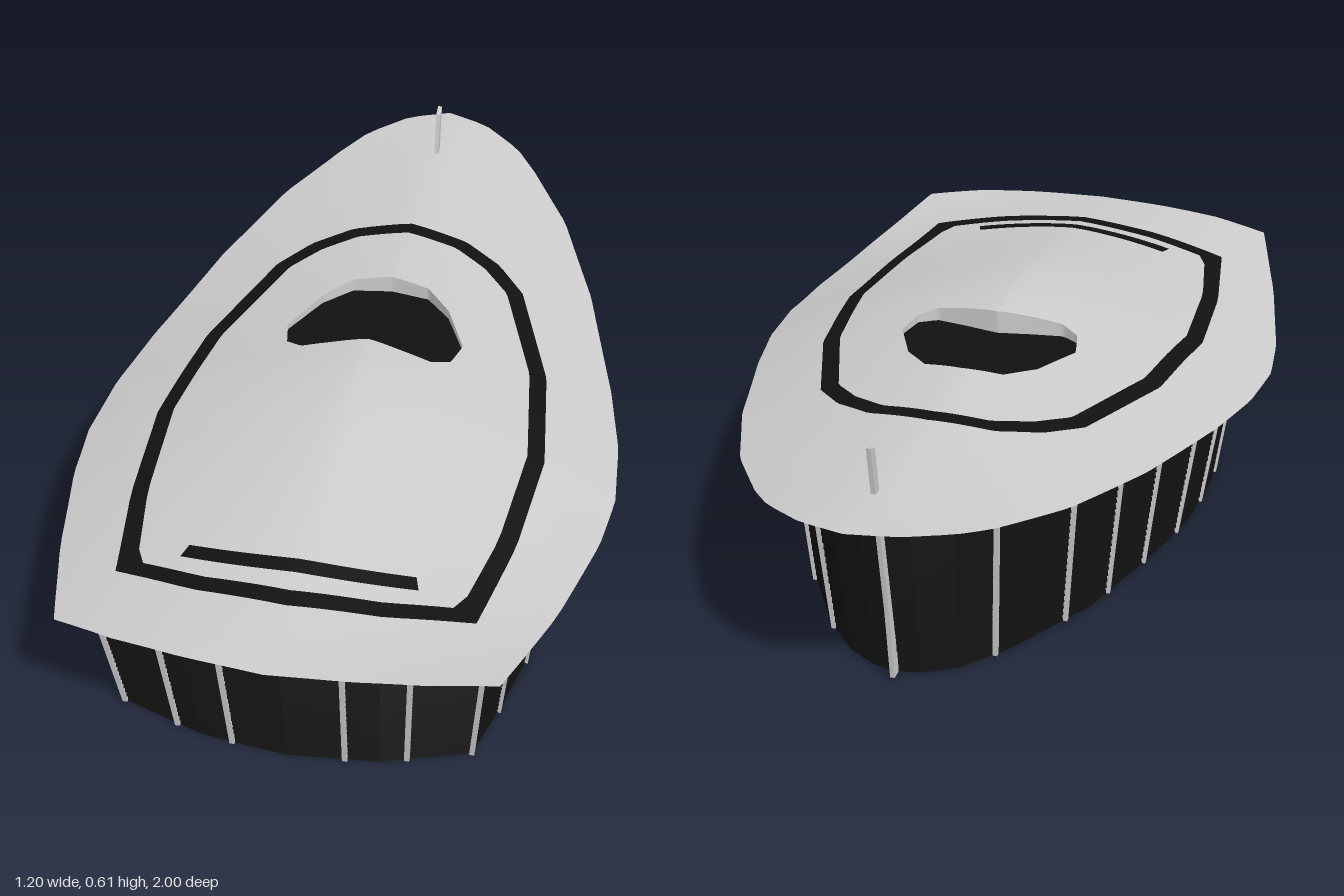
import * as THREE from 'three';

const N = 150;      // samples round every plan loop
const CZ = -0.1;    // centre of the plan loops

// Half plans as [x, z], from the front centre line to the rear centre line
const EDGE = [[0, 1], [0.17, 0.985], [0.32, 0.96], [0.455, 0.92], [0.53, 0.66], [0.585, 0.4], [0.6, 0.25],
  [0.585, 0.08], [0.545, -0.1], [0.455, -0.41], [0.355, -0.66], [0.25, -0.83], [0.195, -0.9], [0.1, -0.97], [0, -1]];
const BAND_OUT = [[0, 0.815], [0.2, 0.795], [0.378, 0.75], [0.42, 0.5], [0.438, 0.23], [0.4, -0.05],
  [0.3, -0.33], [0.23, -0.41], [0.14, -0.465], [0, -0.49]];
const BAND_IN = [[0, 0.775], [0.19, 0.757], [0.34, 0.72], [0.382, 0.5], [0.4, 0.23], [0.362, -0.04],
  [0.265, -0.31], [0.2, -0.38], [0.12, -0.43], [0, -0.45]];
const HOLE = [[0, 0.02], [0.08, 0.035], [0.15, 0.045], [0.19, 0.02], [0.205, -0.05], [0.15, -0.17], [0.09, -0.235], [0, -0.25]];
const WALL_TOP = [[0, 0.9], [0.21, 0.88], [0.41, 0.82], [0.455, 0.65], [0.497, 0.42], [0.51, 0.25], [0.495, 0.06],
  [0.46, -0.08], [0.36, -0.38], [0.22, -0.63], [0.13, -0.74], [0.06, -0.78], [0, -0.79]];
const WALL_BASE = [[0, 0.84], [0.19, 0.82], [0.38, 0.755], [0.42, 0.6], [0.46, 0.4], [0.47, 0.25], [0.455, 0.06],
  [0.42, -0.08], [0.33, -0.36], [0.2, -0.58], [0.12, -0.67], [0.055, -0.71], [0, -0.72]];

// Heights as [z, y]
const RIDGE = [[-1, 0.5], [-0.7, 0.486], [-0.45, 0.482], [-0.26, 0.486], [0.03, 0.5], [0.14, 0.504], [0.3, 0.491],
  [0.46, 0.465], [0.76, 0.413], [1, 0.39]];
const RIM = [[-1, 0.5], [-0.9, 0.475], [-0.83, 0.457], [-0.66, 0.425], [-0.41, 0.386], [-0.1, 0.346], [0.25, 0.316],
  [0.4, 0.316], [0.66, 0.335], [0.92, 0.375], [1, 0.39]];
const WALL_HEAD = [[-0.79, 0.415], [-0.38, 0.365], [-0.08, 0.327], [0.25, 0.302], [0.5, 0.306], [0.82, 0.335], [0.9, 0.345]];

// Smooth interpolation through [t, value] pairs
function curveAt(pts, t) {
  const last = pts.length - 1;
  if (t <= pts[0][0]) return pts[0][1];
  if (t >= pts[last][0]) return pts[last][1];
  let i = 0;
  while (t > pts[i + 1][0]) i++;
  const slope = (k) => {
    const a = pts[Math.max(k - 1, 0)], b = pts[Math.min(k + 1, last)];
    return (b[1] - a[1]) / (b[0] - a[0]);
  };
  const d = pts[i + 1][0] - pts[i][0], u = (t - pts[i][0]) / d;
  const u2 = u * u, u3 = u2 * u;
  return (2 * u3 - 3 * u2 + 1) * pts[i][1] + (u3 - 2 * u2 + u) * d * slope(i)
    + (3 * u2 - 2 * u3) * pts[i + 1][1] + (u3 - u2) * d * slope(i + 1);
}

// Half-width of the roof at z, constant past the front corners
function roofHalfWidth(z) {
  for (let i = 3; i < EDGE.length - 1; i++) {
    const [x0, z0] = EDGE[i], [x1, z1] = EDGE[i + 1];
    if (z >= z0) return x0;
    if (z >= z1) return x0 + (x1 - x0) * (z0 - z) / (z0 - z1);
  }
  return 0;
}

function roofY(x, z) {
  const t = Math.min(1, Math.abs(x) / Math.max(roofHalfWidth(z), 0.001));
  const top = curveAt(RIDGE, z);
  return top + (curveAt(RIM, z) - top) * Math.pow(t, 1.4);
}

// Point of a mirrored half plan in the direction a (0 is the front)
function planPoint(half, a) {
  const side = a > Math.PI ? -1 : 1;
  if (side < 0) a = 2 * Math.PI - a;
  const sx = Math.sin(a), cz = Math.cos(a);
  const cross = ([x, z]) => sx * (z - CZ) - cz * x;
  for (let i = 0; i < half.length - 1; i++) {
    const p = half[i], q = half[i + 1], c0 = cross(p), c1 = cross(q);
    if (c0 >= -1e-9 && c1 <= 1e-9) {
      const u = c0 / (c0 - c1 || 1);
      return [side * (p[0] + (q[0] - p[0]) * u), p[1] + (q[1] - p[1]) * u];
    }
  }
  return [0, half[half.length - 1][1]];
}

function loop(half, y) {
  return Array.from({ length: N }, (_, i) => {
    const [x, z] = planPoint(half, i / N * 2 * Math.PI);
    return new THREE.Vector3(x, y(x, z), z);
  });
}

// Surface through rows of points
function loft(rows, closed = true) {
  const n = rows[0].length, index = [];
  for (let r = 0; r < rows.length - 1; r++)
    for (let i = 0; i < (closed ? n : n - 1); i++) {
      const j = (i + 1) % n, a = r * n + i, b = r * n + j;
      index.push(a, a + n, b, b, a + n, b + n);
    }
  const g = new THREE.BufferGeometry().setFromPoints(rows.flat());
  g.setIndex(index);
  g.computeVertexNormals();
  return g;
}

// Part of the roof surface between two plans
function roofZone(inner, outer, steps) {
  const a = loop(inner, roofY), b = loop(outer, roofY), rows = [];
  for (let s = 0; s <= steps; s++)
    rows.push(a.map((p, i) => {
      const v = p.clone().lerp(b[i], s / steps);
      v.y = roofY(v.x, v.z);
      return v;
    }));
  return loft(rows);
}

export function createModel() {
  const model = new THREE.Group();
  const grey = new THREE.MeshStandardMaterial({ color: 0xcccccc, side: THREE.DoubleSide });
  const black = new THREE.MeshStandardMaterial({ color: 0x111111, side: THREE.DoubleSide });
  const blackFlat = new THREE.MeshStandardMaterial({ color: 0x111111, side: THREE.DoubleSide, flatShading: true });
  const add = (name, geometry, material) => {
    const mesh = new THREE.Mesh(geometry, material);
    mesh.name = name;
    model.add(mesh);
    return mesh;
  };

  // Curved roof with its dark window band
  add('roofCrown', roofZone(HOLE, BAND_IN, 10), grey);
  add('roofWindowBand', roofZone(BAND_IN, BAND_OUT, 2), black);
  add('roofOverhang', roofZone(BAND_OUT, EDGE, 6), grey);

  // Short curved slot near the front, on both faces of the roof
  for (const lift of [0.003, -0.003]) {
    const row = (dz) => Array.from({ length: 25 }, (_, i) => {
      const x = (i / 12 - 1) * (0.24 + dz * 0.3), z = 0.695 + dz - 0.025 * (x / 0.25) ** 2;
      return new THREE.Vector3(x, roofY(x, z) + lift, z);
    });
    add('roofSlot', loft([row(0), row(0.0175), row(0.035)], false), black);
  }

  // Sunken skylight: grey sides and a dark floor
  const floorY = 0.445;
  const floorLoop = loop(HOLE, () => floorY);
  add('skylightSides', loft([loop(HOLE, roofY), floorLoop]), grey);
  add('skylightFloor', loft([floorLoop, floorLoop.map(() => new THREE.Vector3(0, floorY, CZ))]), black);

  // Soffit from the roof edge to the wall head
  const base = loop(WALL_BASE, () => 0);
  const head = loop(WALL_TOP, (x, z) => curveAt(WALL_HEAD, z));
  add('soffit', loft([loop(EDGE, roofY), head]), grey);

  // Outward-leaning wall of stacked louvres
  const rows = [], louvres = 22;
  for (let k = 0; k < louvres; k++)
    for (const [t, inset] of [[k / louvres, 0], [(k + 1) / louvres, 0.008]])
      rows.push(base.map((p, i) => {
        const v = p.clone().lerp(head[i], t);
        v.x *= 1 - inset;
        v.z = CZ + (v.z - CZ) * (1 - inset);
        return v;
      }));
  add('louvreWall', loft(rows), blackFlat);

  // Mullions, mirrored
  const up = new THREE.Vector3(0, 1, 0);
  for (const deg of [7.5, 15.5, 24, 30, 38.8, 48.8, 60.8, 77, 97, 119, 138.6, 160])
    for (const a of [deg, 360 - deg]) {
      const rad = THREE.MathUtils.degToRad(a);
      const [bx, bz] = planPoint(WALL_BASE, rad), [tx, tz] = planPoint(WALL_TOP, rad);
      const lo = new THREE.Vector3(bx, 0, bz), hi = new THREE.Vector3(tx, curveAt(WALL_HEAD, tz), tz);
      const dir = hi.clone().sub(lo);
      const bar = add('mullion', new THREE.BoxGeometry(0.011, dir.length(), 0.011), grey);
      bar.position.copy(lo).add(hi).multiplyScalar(0.5);
      bar.quaternion.setFromUnitVectors(up, dir.normalize());
    }

  // Leaning fin at the rear, rising through the roof
  const fin = new THREE.Shape([[0.715, 0], [0.745, 0], [0.77, 0.18], [0.85, 0.605], [0.825, 0.595], [0.795, 0.42]]
    .map(([z, y]) => new THREE.Vector2(z, y)));
  const finGeometry = new THREE.ExtrudeGeometry(fin, { depth: 0.01, bevelEnabled: false });
  finGeometry.translate(0, 0, -0.005).rotateY(Math.PI / 2);
  add('rearFin', finGeometry, grey);

  return model;
}
